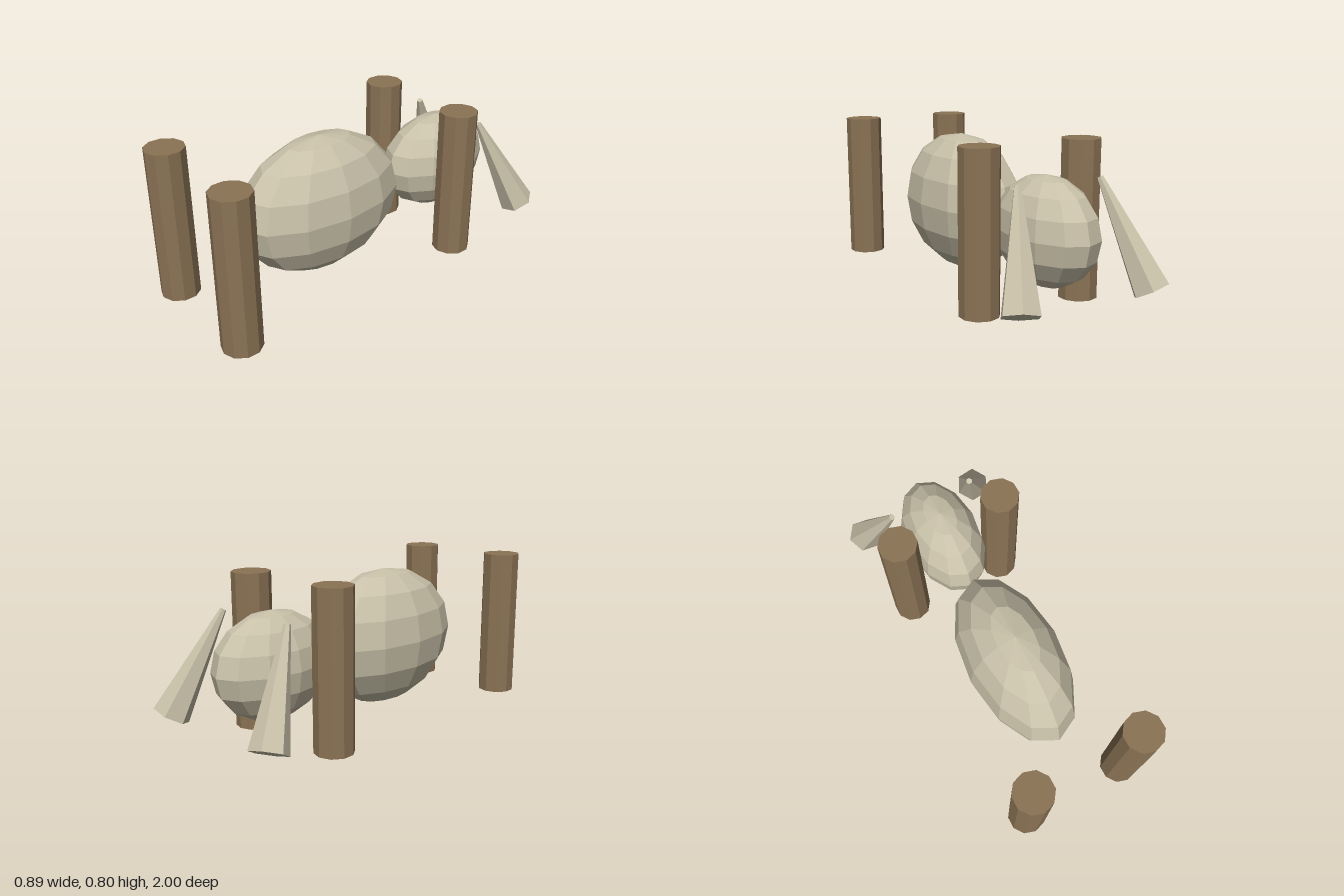
import * as THREE from 'three';

export function createModel() {
  const model = new THREE.Group();
  const wool = new THREE.MeshStandardMaterial({ color: 0xc8c0a8, flatShading: true });
  wool.name = 'cream';
  const wood = new THREE.MeshStandardMaterial({ color: 0x8b7355, flatShading: true });
  wood.name = 'brown';

  function add(name, geometry, material, x, y, z) {
    const mesh = new THREE.Mesh(geometry, material);
    mesh.name = name;
    mesh.position.set(x, y, z);
    model.add(mesh);
    return mesh;
  }

  // Body and head: faceted ellipsoids meeting end to end
  const ball = new THREE.SphereGeometry(1, 12, 8);
  add('body', ball, wool, 0, 0.4, 0.217).scale.set(0.25, 0.365, 0.478);
  add('head', ball, wool, 0, 0.4, -0.588).scale.set(0.2, 0.264, 0.333);

  // Legs: ten-sided posts; ears: six-sided cones flaring down and outward
  const leg = new THREE.CylinderGeometry(0.1, 0.1, 0.8, 10);
  const ear = new THREE.CylinderGeometry(0.016, 0.093, 0.568, 6, 1, false, Math.PI / 6);
  for (const [side, s] of [['left', 1], ['right', -1]]) {
    add(side + 'FrontLeg', leg, wood, s * 0.285, 0.4, 0.9);
    add(side + 'BackLeg', leg, wood, s * 0.285, 0.4, -0.466);
    const flap = add(side + 'Ear', ear, wool, s * 0.29, 0.398, -0.81);
    flap.rotation.set(0.427, 0, s * 0.252, 'ZYX');
  }
  return model;
}
